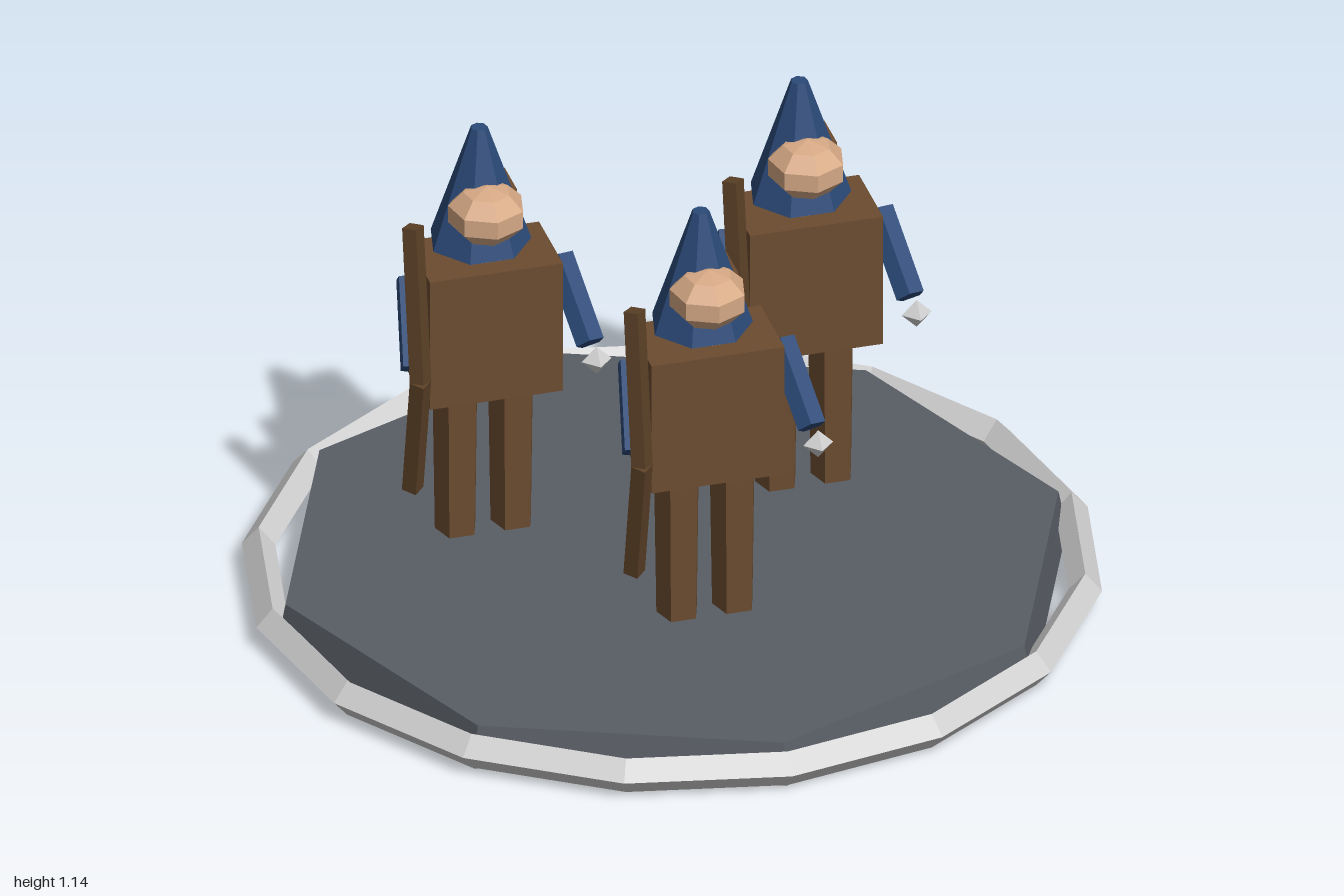
import * as THREE from 'three';

const mat = (name, color) => {
  const m = new THREE.MeshStandardMaterial({ color, flatShading: true });
  m.name = name;
  return m;
};

export function createModel() {
  const leather = mat('leather brown', 0x6b4c30);
  const wood = mat('bow wood', 0x5c4127);
  const cloth = mat('blue cloth', 0x2b4a78);
  const skin = mat('skin', 0xd6a985);
  const slate = mat('slate', 0x595d65);
  const silver = mat('silver', 0xd0d0d0);

  const add = (parent, name, geo, material, x = 0, y = 0, z = 0) => {
    const mesh = new THREE.Mesh(geo, material);
    mesh.name = name;
    mesh.position.set(x, y, z);
    parent.add(mesh);
    return mesh;
  };

  // Few-sided rod running from point a to point b
  const rod = (parent, name, a, b, radius, sides, material) => {
    const from = new THREE.Vector3(...a), to = new THREE.Vector3(...b);
    const dir = to.clone().sub(from);
    const mesh = add(parent, name, new THREE.CylinderGeometry(radius, radius, dir.length(), sides), material);
    mesh.position.copy(from).add(to).multiplyScalar(0.5);
    mesh.quaternion.setFromUnitVectors(new THREE.Vector3(0, 1, 0), dir.normalize());
    return mesh;
  };

  const archer = (x, z) => {
    const g = new THREE.Group();
    g.name = 'archer';
    g.position.set(x, 0, z);

    add(g, 'torso', new THREE.BoxGeometry(0.32, 0.34, 0.2), leather, 0, 0.66, 0);
    add(g, 'quiver', new THREE.BoxGeometry(0.07, 0.33, 0.105), leather, 0.065, 0.775, -0.127);

    // Legs and arms, mirrored
    for (const s of [-1, 1]) {
      const leg = new THREE.CylinderGeometry(0.057, 0.051, 0.42, 5, 1, false, Math.PI);
      add(g, 'leg', leg, leather, s * 0.067, 0.3, 0.002);
      rod(g, 'arm', [s * 0.18, 0.79, 0], [s * 0.212, 0.635, 0.147], 0.035, 5, cloth);
    }

    // Head and hood
    add(g, 'neck', new THREE.CylinderGeometry(0.053, 0.053, 0.05, 7, 1, false, Math.PI), skin, 0, 0.845, 0);
    const head = add(g, 'head', new THREE.SphereGeometry(0.095, 7, 5), skin, 0, 0.947, 0.02);
    head.scale.y = 0.75;
    head.rotation.y = Math.PI / 2; // flat facet to the front
    add(g, 'pointedHood', new THREE.CylinderGeometry(0.02, 0.121, 0.3, 7, 1, false, Math.PI), cloth, 0, 0.99, -0.045);

    // Bow in the right hand, crystal in the left
    const grip = [-0.21, 0.625, 0.193];
    rod(g, 'bowUpperLimb', grip, [-0.21, 1.005, 0.13], 0.026, 4, wood);
    rod(g, 'bowLowerLimb', [-0.21, 0.305, 0.128], grip, 0.026, 4, wood);
    add(g, 'crystal', new THREE.OctahedronGeometry(0.036), silver, 0.208, 0.627, 0.213);
    return g;
  };

  const model = new THREE.Group();
  model.name = 'archerTrio';

  // Base and rim
  add(model, 'base', new THREE.CylinderGeometry(0.93, 0.95, 0.104, 8), slate, 0, 0.052, 0);
  const rim = add(model, 'rim', new THREE.TorusGeometry(0.961, 0.039, 4, 16), silver, 0, 0.053, 0);
  rim.rotation.x = Math.PI / 2;
  rim.scale.z = 1.15;

  for (const [x, z] of [[0, 0.283], [-0.385, -0.228], [0.385, -0.228]]) model.add(archer(x, z));
  return model;
}
